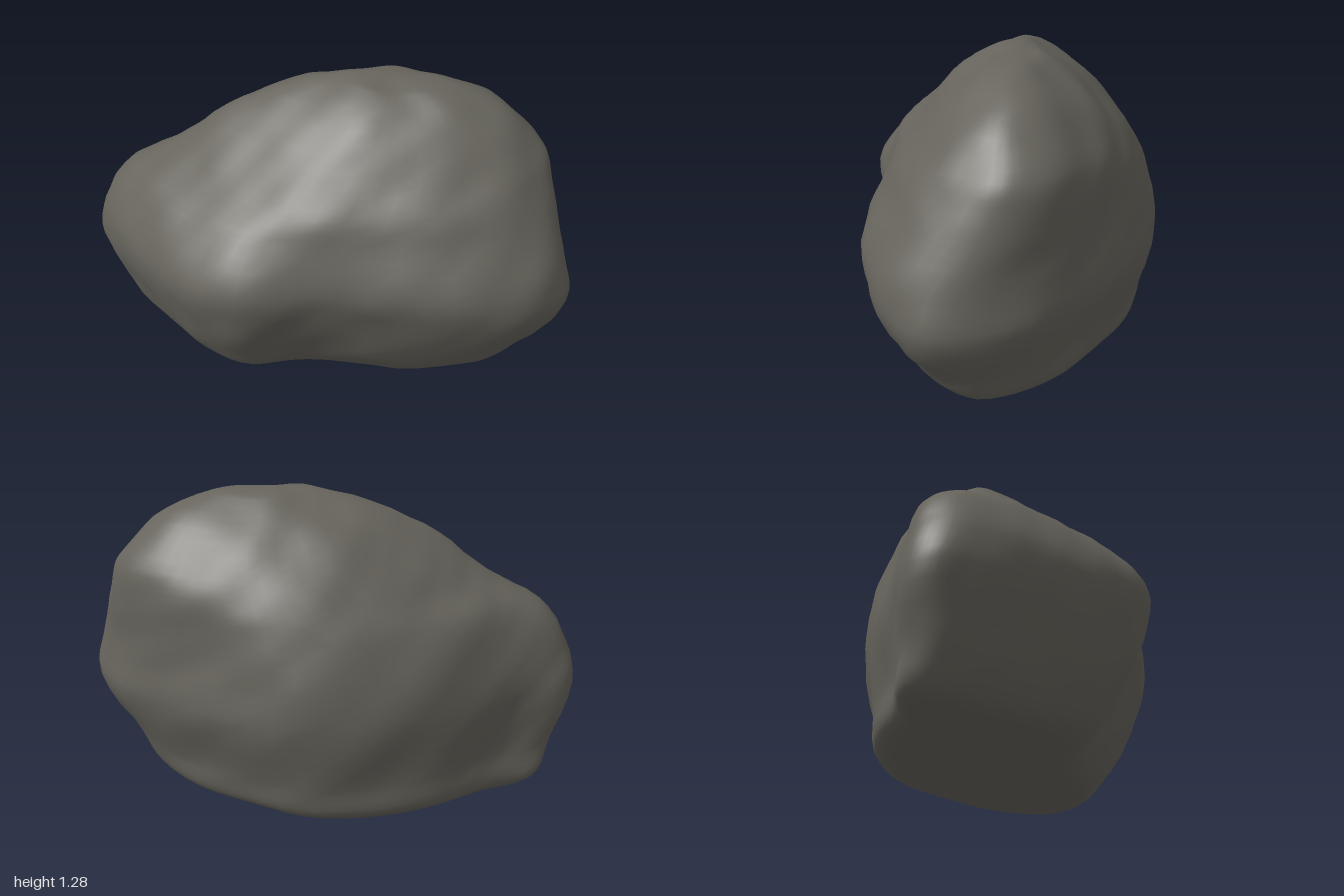
import * as THREE from 'three';

// Outlines seen from above, scaled to a unit square: left tip, back, right tip, front
const WAIST = [
  [0, .5], [.015, .4], [.13, .3], [.31, .1], [.57, 0], [.77, .16], [.925, .36], [1, .62],
  [.955, .77], [.8, .89], [.52, .92], [.38, 1], [.25, .93], [.13, .76], [.03, .6],
];
const CROWN = [
  [0, .53], [.02, .43], [.12, .28], [.33, .07], [.57, 0], [.77, .1], [.94, .27], [1, .47],
  [.94, .73], [.78, .91], [.52, 1], [.36, .99], [.24, .9], [.12, .76], [.04, .64],
];

// Extent at each height: y, left, right, back, front
const LEVELS = [
  [.012, -.6, .45, -.42, .17],
  [.035, -.82, .66, -.47, .29],
  [.08, -.88, .75, -.52, .36],
  [.2, -.92, .84, -.54, .45],
  [.45, -1, 1, -.6, .57],
  [.62, -.975, .965, -.59, .6],
  [.8, -.85, .91, -.54, .49],
  [.9, -.67, .88, -.5, .42],
  [1, -.53, .84, -.44, .32],
  [1.15, -.31, .7, -.31, .19],
  [1.25, -.02, .48, -.18, .06],
  [1.272, .08, .36, -.14, 0],
];
const AROUND = 75;
const ROWS = 44;

// Gentle bumps and dents of the worn stone
function bump(x, y, z) {
  return 0.006 * Math.sin(9 * x + 4 * y + 1) * Math.sin(8 * z - 7 * y + 2)
    + 0.006 * Math.sin(17 * x - 6 * z) * Math.sin(15 * y + 9 * z + 1)
    + 0.003 * Math.sin(29 * x + 11 * y) * Math.sin(27 * y - 19 * z + 2);
}

// Smooth closed ring at one height, changing from the waist outline to the crown outline
function makeRing([y, left, right, back, front]) {
  const blend = THREE.MathUtils.smoothstep(y, 0.45, 1);
  const corners = WAIST.map(([u, v], i) => new THREE.Vector3(
    THREE.MathUtils.lerp(left, right, THREE.MathUtils.lerp(u, CROWN[i][0], blend)),
    y,
    THREE.MathUtils.lerp(back, front, THREE.MathUtils.lerp(v, CROWN[i][1], blend)),
  ));
  const curve = new THREE.CatmullRomCurve3(corners, true, 'centripetal');
  return Array.from({ length: AROUND }, (_, j) => curve.getPoint(j / AROUND));
}

function boulderGeometry() {
  // Columns run up through the rings
  const rings = LEVELS.map(makeRing);
  const columns = Array.from({ length: AROUND }, (_, j) =>
    new THREE.CatmullRomCurve3(rings.map((ring) => ring[j]), false, 'centripetal'));
  const positions = [];
  for (let i = 0; i <= ROWS; i++) {
    for (const column of columns) {
      const p = column.getPoint(i / ROWS);
      const fade = Math.min(1, p.y / 0.2);
      const out = new THREE.Vector3(p.x * 0.35, (p.y - 0.55) * 0.7, p.z).normalize();
      p.addScaledVector(out, bump(p.x, p.y, p.z) * fade);
      positions.push(p.x, p.y, p.z);
    }
  }

  const index = [];
  for (let i = 0; i < ROWS; i++) {
    for (let j = 0; j < AROUND; j++) {
      const a = i * AROUND + j;
      const b = i * AROUND + (j + 1) % AROUND;
      index.push(a, a + AROUND, b, b, a + AROUND, b + AROUND);
    }
  }

  // Shallow underside and rounded crown close the ends
  const under = positions.length / 3;
  const top = ROWS * AROUND;
  positions.push(-0.05, 0, -0.08, 0.22, 1.28, -0.07);
  for (let j = 0; j < AROUND; j++) {
    const k = (j + 1) % AROUND;
    index.push(under, j, k, under + 1, top + k, top + j);
  }

  const geometry = new THREE.BufferGeometry();
  geometry.setAttribute('position', new THREE.Float32BufferAttribute(positions, 3));
  geometry.setIndex(index);
  geometry.computeVertexNormals();
  return geometry;
}

export function createModel() {
  const stone = new THREE.MeshStandardMaterial({ color: 0x66645c });
  stone.name = 'stone';
  const boulder = new THREE.Mesh(boulderGeometry(), stone);
  boulder.name = 'boulder';
  const group = new THREE.Group();
  group.name = 'rock';
  group.add(boulder);
  return group;
}
